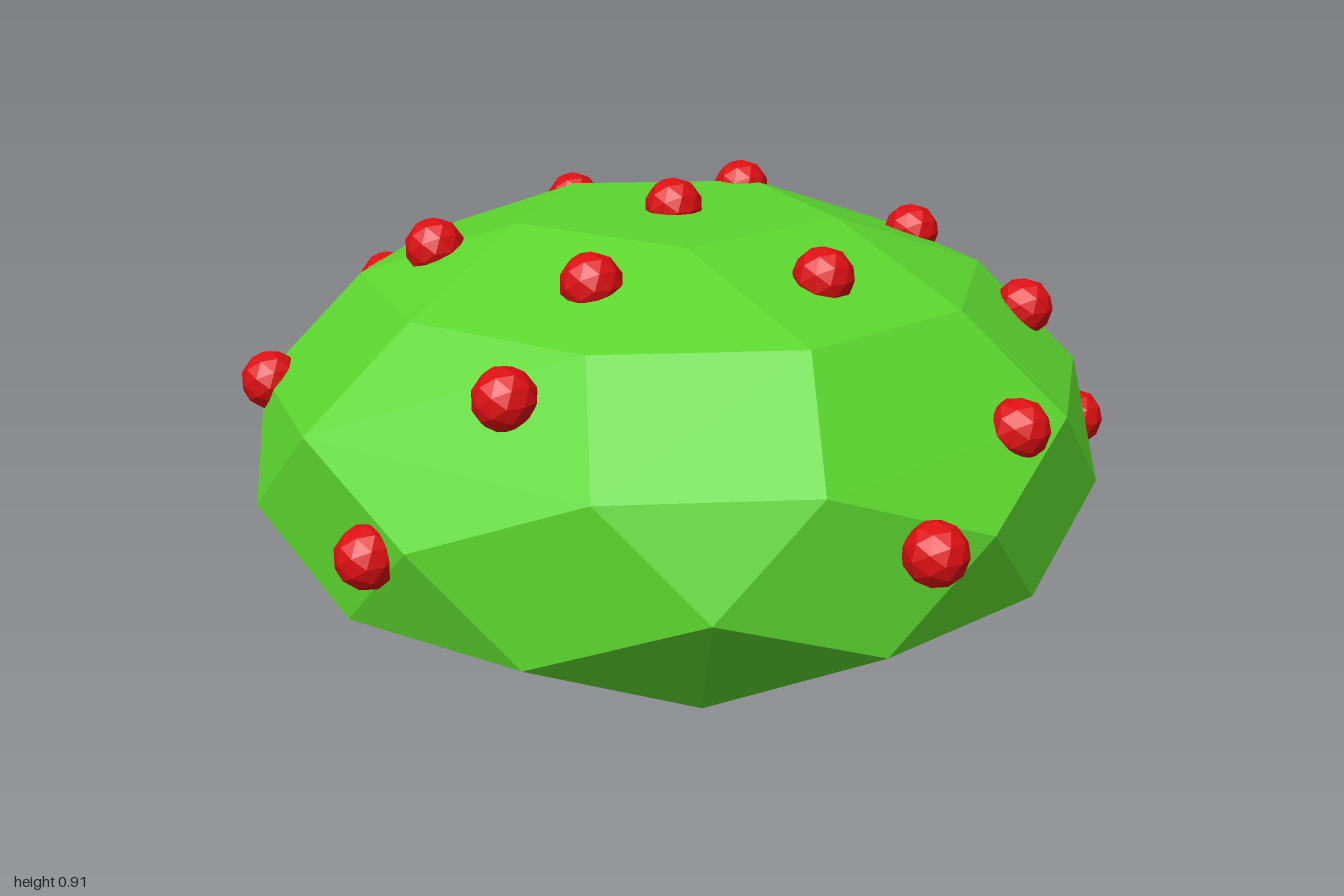
import * as THREE from 'three';
import { ConvexGeometry } from 'three/addons/geometries/ConvexGeometry.js';

const CX = -0.02; // body axis

// Five-fold ring of points, at each angle offset (degrees)
function ring(radius, y, offsets) {
  const points = [];
  for (let k = 0; k < 5; k++) {
    for (const offset of offsets) {
      const a = THREE.MathUtils.degToRad(72 * k + offset);
      points.push(new THREE.Vector3(CX + radius * Math.cos(a), y, radius * Math.sin(a)));
    }
  }
  return points;
}

export function createModel() {
  const group = new THREE.Group();
  const green = new THREE.MeshStandardMaterial({ color: 0x5cd62e, flatShading: true });
  const red = new THREE.MeshStandardMaterial({ color: 0xdd0f12, flatShading: true });

  // Faceted dome: squashed pentagon, square and triangle facets on a flat base
  const body = new THREE.Mesh(new ConvexGeometry([
    ...ring(0.367, 0.835, [36]),
    ...ring(0.697, 0.703, [18, -18]),
    ...ring(0.916, 0.488, [22.4, -22.4]),
    ...ring(0.96, 0.355, [0]),
    ...ring(0.96, 0.273, [36]),
    ...ring(0.916, 0.139, [13.6, 58.4]),
    ...ring(0.76, 0, [36]),
  ]), green);
  body.name = 'body';
  group.add(body);

  // Small round studs, half sunk into the facets
  const studGeometry = new THREE.IcosahedronGeometry(0.066, 1);
  const studs = [
    [-0.02, 0.84, 0], [-0.17, 0.815, -0.34], [0.14, 0.72, -0.61],
    [0.51, 0.615, -0.585], [0.59, 0.35, -0.69], [0.82, 0.495, -0.2],
    [0.92, 0.355, 0.15], [0.465, 0.775, 0.01], [0.21, 0.78, 0.41],
    [0.3, 0.62, 0.69], [0.16, 0.315, 0.925], [-0.27, 0.775, 0.47],
    [-0.46, 0.49, 0.785], [-0.76, 0.58, 0.3], [-0.59, 0.745, -0.15],
    [-0.75, 0.59, -0.42], [-0.84, 0.35, -0.425], [-0.04, 0.39, -0.93],
    [-0.27, 0.15, -0.85],
  ];
  for (const position of studs) {
    const stud = new THREE.Mesh(studGeometry, red);
    stud.name = 'stud';
    stud.position.set(...position);
    group.add(stud);
  }
  return group;
}
